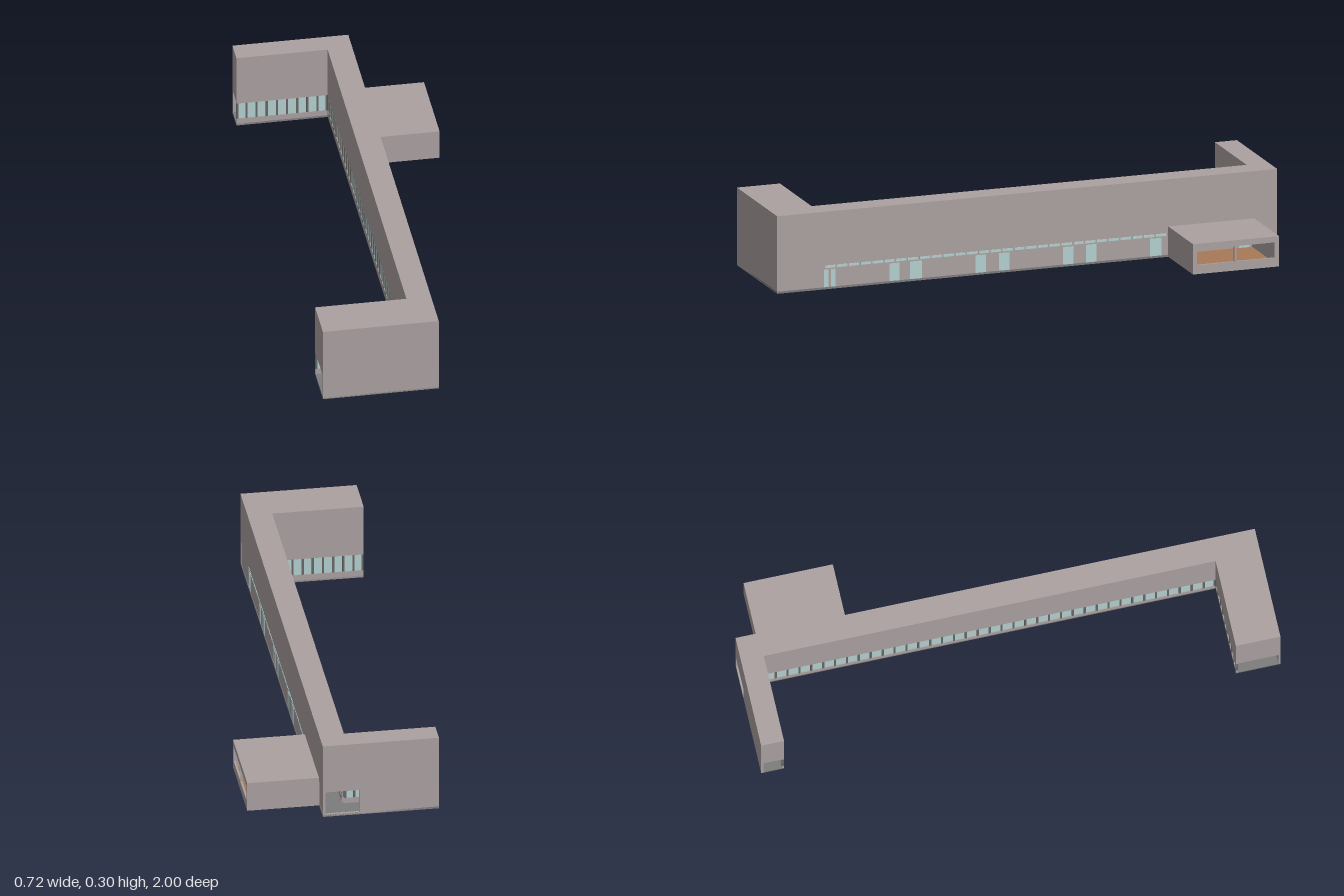
import * as THREE from 'three';

const mat = (name, color) => {
  const m = new THREE.MeshStandardMaterial({ color });
  m.name = name;
  return m;
};

export function createModel() {
  const wall = mat('warm grey wall', 0xaba1a1);
  const glass = mat('pale teal glass', 0xb4d0d0);
  const frame = mat('dark frame', 0x6a6666);
  const slab = mat('grey floor', 0x7c7c7c);
  const wood = mat('wooden floor', 0xa87a58);

  const model = new THREE.Group();
  model.name = 'building';

  // Box given by its limits on each axis
  const box = (parent, name, m, x0, x1, y0, y1, z0, z1) => {
    const mesh = new THREE.Mesh(new THREE.BoxGeometry(x1 - x0, y1 - y0, z1 - z0), m);
    mesh.position.set((x0 + x1) / 2, (y0 + y1) / 2, (z0 + z1) / 2);
    mesh.name = name;
    parent.add(mesh);
    return mesh;
  };

  const L = -0.358, R = 0.084, IN = -0.01, ZB = -1, ZF = 1, ZBI = -0.912, ZFI = 0.828;
  const Y1 = 0.104, TOP = 0.302, FLOOR = 0.008, T = 0.008;

  // C-shaped plan extruded between two heights
  const plan = (name, m, y0, y1) => {
    const pts = [[L, ZB], [R, ZB], [R, ZF], [L, ZF], [L, ZFI], [IN, ZFI], [IN, ZBI], [L, ZBI]];
    const shape = new THREE.Shape(pts.map(([x, z]) => new THREE.Vector2(x, -z)));
    const geo = new THREE.ExtrudeGeometry(shape, { depth: y1 - y0, bevelEnabled: false });
    geo.rotateX(-Math.PI / 2);
    const mesh = new THREE.Mesh(geo, m);
    mesh.position.y = y0;
    mesh.name = name;
    model.add(mesh);
  };
  plan('upperStorey', wall, Y1, TOP);
  plan('groundSlab', slab, 0, FLOOR);

  // Closed ground-floor walls on the outside
  box(model, 'frontWall', wall, L, R, 0, Y1, ZF - T, ZF);
  box(model, 'sideWall', wall, R - 0.01, R - 0.002, 0, Y1, ZB, ZF);

  // Back wall with the entrance opening near its corner
  box(model, 'backWall', wall, L, -0.055, 0, Y1, ZB, ZB + T);
  box(model, 'entranceThreshold', wall, -0.055, R, 0, 0.01, ZB, ZB + T);
  box(model, 'entranceJamb', wall, R - 0.008, R, 0, Y1, ZB, ZB + T);

  // Ribbon window: runs along local x, faces local +z, length len
  const ribbon = (name, len, count) => {
    const g = new THREE.Group();
    g.name = name;
    const y0 = 0.03, y1 = 0.098, pitch = len / count;
    box(g, 'sill', wall, 0, len, 0, y0, -T, 0);
    box(g, 'head', wall, 0, len, y1, Y1, -T, 0);
    box(g, 'glazing', glass, 0, len, y0, y1, -0.006, -0.003);
    for (let i = 0; i <= count; i++) {
      const x = Math.min(Math.max(i * pitch, 0.004), len - 0.004);
      box(g, 'mullion', frame, x - 0.004, x + 0.004, y0, y1, -T, 0);
    }
    model.add(g);
    return g;
  };
  const spine = ribbon('spineWindows', ZFI - ZBI, 38);
  spine.rotation.y = -Math.PI / 2;
  spine.position.set(IN, 0, ZBI);
  const back = ribbon('backWingWindows', IN - L, 9);
  back.position.set(L, 0, ZBI);
  const front = ribbon('frontWingWindows', IN - L, 9);
  front.rotation.y = Math.PI;
  front.position.set(IN, 0, ZFI);

  // Paired glass doors and the high window strip on the long outer side
  const doors = [[0.51, 0.55], [0.42, 0.468], [0.165, 0.207], [0.07, 0.113], [-0.185, -0.143],
    [-0.278, -0.235], [-0.537, -0.492], [-0.62, -0.588], [-0.89, -0.845], [0.795, 0.812], [0.767, 0.784]];
  const xs = R - 0.002;
  for (const [z0, z1] of doors) box(model, 'glassDoor', glass, xs, xs + 0.0015, FLOOR, 0.076, z0, z1);
  const n = 36, step = 1.7 / n;
  for (let i = 0; i < n; i++) {
    const z = -0.89 + i * step;
    box(model, 'highWindow', glass, xs, xs + 0.0015, 0.082, 0.092, z + 0.003, z + step - 0.003);
  }

  // Low annex: hollow, with two openings in its outer end
  const annex = new THREE.Group();
  annex.name = 'annex';
  model.add(annex);
  const ax0 = R - 0.002, ax1 = 0.357, az0 = -0.908, az1 = -0.564, ah = 0.118;
  box(annex, 'annexFloor', wood, ax0, ax1 - T, 0, FLOOR, az0 + T, az1 - T);
  box(annex, 'annexRoof', wall, ax0, ax1 - T, ah - 0.01, ah, az0, az1);
  box(annex, 'annexBackWall', wall, ax0, ax1 - T, 0, ah - 0.01, az0, az0 + T);
  box(annex, 'annexFrontWall', wall, ax0, ax1 - T, 0, ah - 0.01, az1 - T, az1);

  const rect = (target, x0, x1, y0, y1) => {
    target.moveTo(x0, y0);
    target.lineTo(x1, y0);
    target.lineTo(x1, y1);
    target.lineTo(x0, y1);
    target.closePath();
    return target;
  };
  // Shape x is -z once turned to face +x
  const end = rect(new THREE.Shape(), -az1, -az0, 0, ah);
  for (const [a, b] of [[0.58, 0.729], [0.737, 0.89]]) end.holes.push(rect(new THREE.Path(), a, b, 0.035, 0.095));
  const endWall = new THREE.Mesh(new THREE.ExtrudeGeometry(end, { depth: T, bevelEnabled: false }), wall);
  endWall.rotation.y = Math.PI / 2;
  endWall.position.x = ax1 - T;
  endWall.name = 'annexWindowWall';
  annex.add(endWall);

  return model;
}
